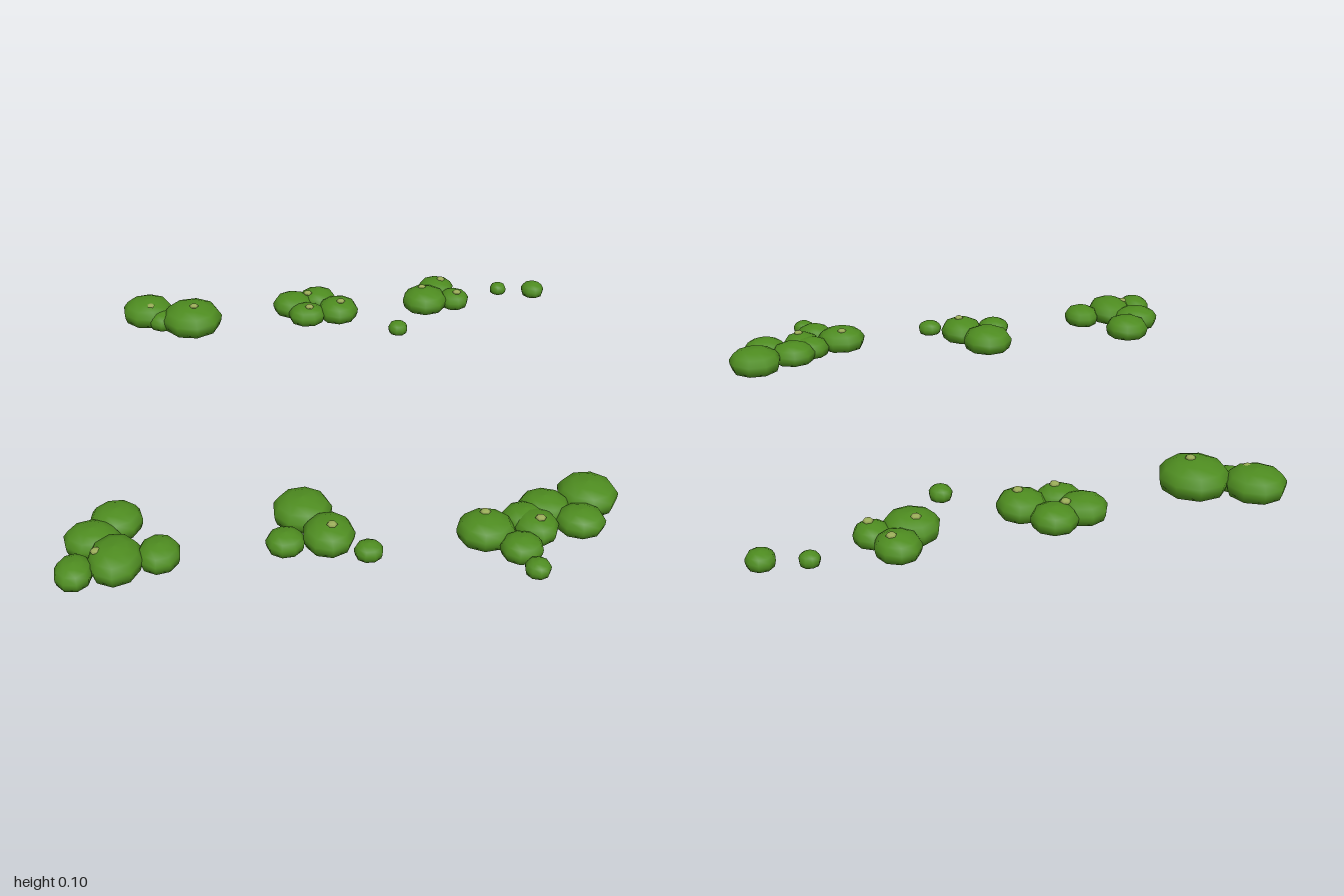
import * as THREE from 'three';

// Each clump is a list of shrubs: [x, z, radiusX, radiusZ, has a pale bud]
const CLUMPS = {
  backRightClump: [
    [-0.73, -0.755, 0.1, 0.1, 0], [-0.665, -0.69, 0.06, 0.06, 0], [-0.55, -0.68, 0.117, 0.12, 1]],
  backCentreClump: [
    [-0.15, -0.8, 0.08, 0.08, 0], [-0.05, -0.845, 0.075, 0.075, 0],
    [-0.095, -0.715, 0.073, 0.068, 1], [0.03, -0.745, 0.08, 0.085, 1]],
  backLeftClump: [
    [0.44, -0.92, 0.073, 0.078, 0], [0.385, -0.815, 0.09, 0.09, 0], [0.505, -0.83, 0.06, 0.065, 1]],
  backLooseShrubs: [
    [0.7, -0.93, 0.033, 0.033, 0], [0.84, -0.91, 0.046, 0.05, 0], [0.26, -0.6, 0.038, 0.04, 0]],
  frontRightClump: [
    [-0.725, 0.665, 0.085, 0.087, 0], [-0.79, 0.765, 0.09, 0.082, 0], [-0.71, 0.87, 0.086, 0.108, 0],
    [-0.83, 0.92, 0.06, 0.075, 0], [-0.58, 0.84, 0.068, 0.08, 0]],
  frontCentreClump: [
    [-0.14, 0.635, 0.096, 0.1, 0], [-0.195, 0.79, 0.062, 0.062, 0],
    [-0.06, 0.765, 0.083, 0.095, 1], [0.06, 0.84, 0.046, 0.044, 0]],
  frontLeftClump: [
    [0.78, 0.585, 0.1, 0.1, 0], [0.63, 0.645, 0.085, 0.08, 0], [0.735, 0.72, 0.08, 0.073, 0],
    [0.56, 0.7, 0.075, 0.07, 0], [0.43, 0.76, 0.093, 0.088, 0], [0.59, 0.745, 0.072, 0.08, 1],
    [0.53, 0.85, 0.068, 0.066, 0], [0.565, 0.945, 0.041, 0.042, 0]],
};

// Buds that sit off-centre on a shrub: [x, z, y]
const SIDE_BUDS = [
  [-0.715, -0.715, 0.073], [-0.09, -0.82, 0.066], [0.46, -0.925, 0.065],
  [0.375, -0.84, 0.073], [-0.765, 0.875, 0.068], [0.43, 0.73, 0.075],
];

export function createModel() {
  const model = new THREE.Group();
  const leafGreen = new THREE.MeshStandardMaterial({ color: 0x4e8c20 });
  leafGreen.name = 'leaf green';
  const budGreen = new THREE.MeshStandardMaterial({ color: 0x9aac58 });
  budGreen.name = 'pale bud';

  // Flat-bottomed cushion, unit radius and height
  const profile = [[0, 0], [0.9, 0], [0.98, 0.25], [1, 0.47], [0.83, 0.76], [0.48, 0.94], [0, 1]]
    .map(([x, y]) => new THREE.Vector2(x, y));
  const cushion = new THREE.LatheGeometry(profile, 9);
  const budShape = new THREE.SphereGeometry(0.018, 6, 4);

  function addBud(parent, x, y, z) {
    const bud = new THREE.Mesh(budShape, budGreen);
    bud.name = 'bud';
    bud.scale.y = 0.5;
    bud.position.set(x, y, z);
    parent.add(bud);
  }

  let turn = 0;
  for (const [name, shrubs] of Object.entries(CLUMPS)) {
    const clump = new THREE.Group();
    clump.name = name;
    for (const [x, z, rx, rz, hasBud] of shrubs) {
      const height = 0.02 + 0.64 * (rx + rz) / 2;
      const shrub = new THREE.Group();
      shrub.name = 'shrub';
      shrub.position.set(x, 0, z);
      shrub.scale.set(rx, height, rz);
      const foliage = new THREE.Mesh(cushion, leafGreen);
      foliage.name = 'foliage';
      foliage.rotation.y = turn += 2.4;
      shrub.add(foliage);
      clump.add(shrub);
      if (hasBud) addBud(clump, x + 0.01, height, z + 0.015);
    }
    model.add(clump);
  }

  const sideBuds = new THREE.Group();
  sideBuds.name = 'sideBuds';
  for (const [x, z, y] of SIDE_BUDS) addBud(sideBuds, x, y, z);
  model.add(sideBuds);
  return model;
}
